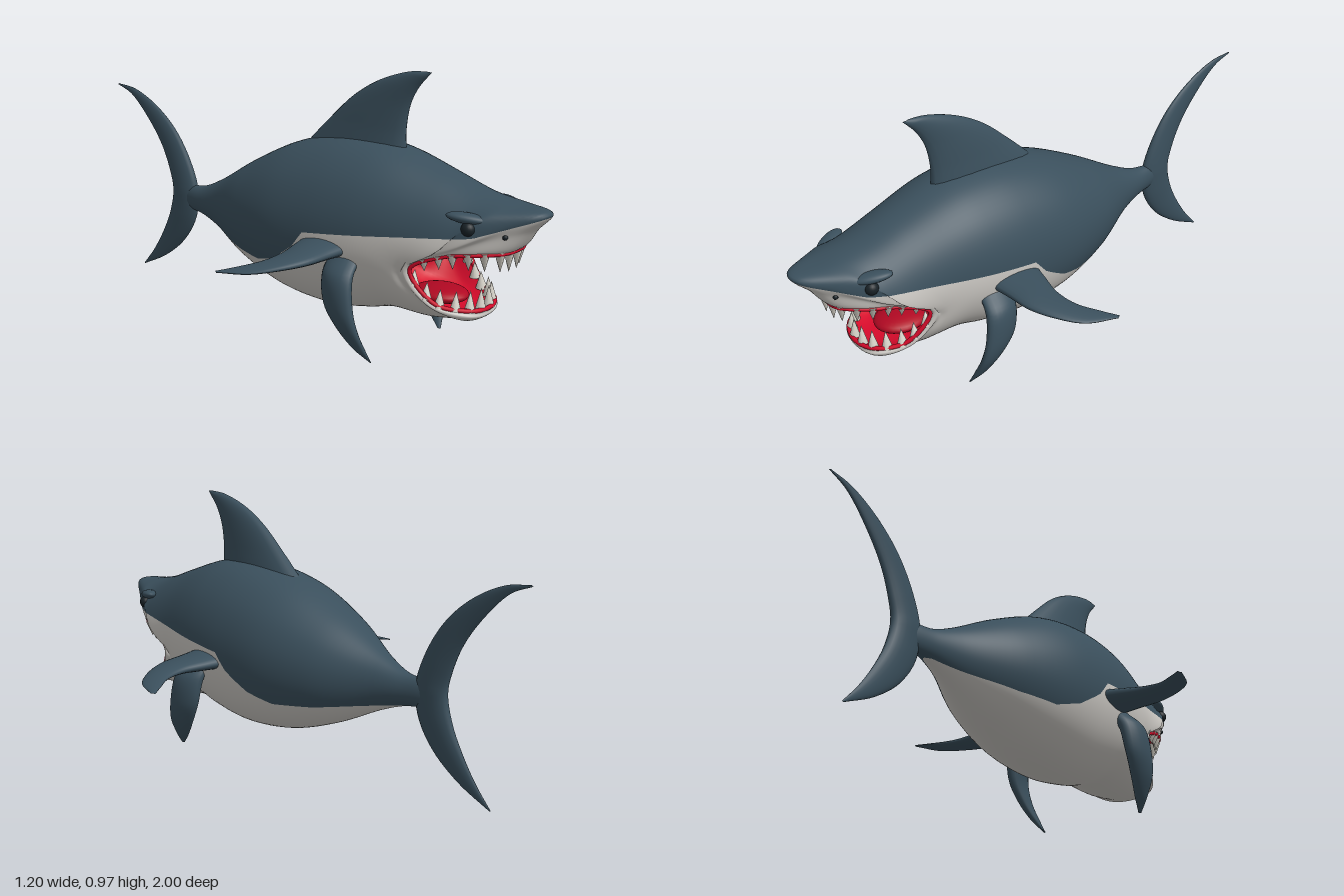
import * as THREE from 'three';

const V = (x, y, z) => new THREE.Vector3(x, y, z);
const mat = (name, color) => Object.assign(new THREE.MeshStandardMaterial({ color }), { name });

// Closed ring through eight half-section points, mirrored to the other side
const ringCurve = half => new THREE.CatmullRomCurve3(
  [...half, ...half.slice(1, 7).reverse().map(p => V(-p.x, p.y, p.z))], true);

// Closed smooth skin over a list of rings, turned to face outward
function loft(rings) {
  const n = rings[0].length, flat = rings.flat(), index = [];
  for (let i = 0; i < rings.length - 1; i++) for (let k = 0; k < n; k++) {
    const a = i * n + k, b = i * n + (k + 1) % n;
    index.push(a, a + n, b, b, a + n, b + n);
  }
  let volume = 0;
  for (let i = 0; i < index.length; i += 3)
    volume += flat[index[i]].dot(flat[index[i + 1]].clone().cross(flat[index[i + 2]]));
  if (volume < 0) index.reverse();
  const g = new THREE.BufferGeometry().setFromPoints(flat);
  g.setIndex(index);
  g.computeVertexNormals();
  return g;
}

// Lens-shaped fin: stations of leading point, trailing point and half thickness
function fin(stations, normal, side = 1) {
  const lead = new THREE.CatmullRomCurve3(stations.map(s => s.lead));
  const trail = new THREE.CatmullRomCurve3(stations.map(s => s.trail));
  const rings = [], last = stations.length - 1;
  for (let i = 0; i <= last * 6; i++) {
    const t = i / (last * 6), a = lead.getPoint(t), b = trail.getPoint(t);
    const j = Math.min(Math.floor(i / 6), last - 1);
    const thick = THREE.MathUtils.lerp(stations[j].thick, stations[j + 1].thick, i / 6 - j);
    const mid = a.clone().add(b).multiplyScalar(0.5), half = a.clone().sub(b).multiplyScalar(0.5);
    rings.push(Array.from({ length: 20 }, (_, k) => {
      const q = k / 20 * Math.PI * 2;
      const p = mid.clone().addScaledVector(half, Math.cos(q)).addScaledVector(normal, thick * Math.sin(q));
      p.x *= side;
      return p;
    }));
  }
  return loft(rings);
}
// Upright fin on the centre line, and paired fin whose two edges share a height
const upright = ([ly, lz, ty, tz, thick]) => ({ lead: V(0, ly, lz), trail: V(0, ty, tz), thick });
const paired = ([y, lx, lz, tx, tz, thick]) => ({ lead: V(lx, y, lz), trail: V(tx, y, tz), thick });

// Body sections: z, top, bottom, half width, pull toward the mouth corner
const BODY = [[-0.66, 0.385, 0.37, 0.004, 0], [-0.6, 0.42, 0.335, 0.022, 0], [-0.5, 0.435, 0.315, 0.045, 0],
  [-0.4, 0.478, 0.28, 0.08, 0], [-0.2, 0.59, 0.19, 0.185, 0], [0, 0.68, 0.125, 0.245, 0],
  [0.2, 0.722, 0.105, 0.258, 0], [0.35, 0.722, 0.125, 0.25, 0], [0.45, 0.705, 0.148, 0.236, 0],
  [0.62, 0.65, 0.145, 0.212, 0.45], [0.75, 0.605, 0.158, 0.2, 1]];
const PULL = [0, 0, 0.01, 0.05, 0.19, 0.13, 0.06, 0.05];

// Head loops from crown to chin: face, muzzle edge and lips
const FACE = [[0, .578, .88], [.06, .573, .87], [.125, .545, .83], [.177, .47, .74],
  [.205, .355, .58], [.168, .235, .65], [.1, .185, .745], [0, .17, .76]];
const MUZZLE = [[0, .56, .995], [.04, .555, .98], [.095, .525, .9], [.168, .45, .76],
  [.2, .355, .59], [.162, .235, .662], [.095, .198, .765], [0, .187, .785]];
const LIPS = [[0, .425, .88], [.065, .425, .87], [.125, .42, .8], [.163, .405, .7],
  [.187, .35, .595], [.15, .238, .67], [.085, .215, .76], [0, .21, .785]];

// Height of the border between back and belly colours
const BORDER = [[-1, .32], [-.5, .32], [-.2, .275], [-.05, .265], [.05, .295], [.15, .36],
  [.2, .42], [.6, .46], [.8, .48], [1.1, .59]];
function borderY(z) {
  const i = Math.max(1, BORDER.findIndex(b => b[0] >= z));
  const [a, b] = [BORDER[i - 1], BORDER[i]];
  return THREE.MathUtils.mapLinear(z, a[0], b[0], a[1], b[1]);
}

export function createModel() {
  const group = new THREE.Group();
  group.name = 'shark';
  const slate = mat('slate back', 0x3a4f5c), pale = mat('pale belly', 0xcbc8c3), red = mat('red mouth', 0xd60a2a);
  const tongueRed = mat('dark red tongue', 0xb00822), ivory = mat('ivory teeth', 0xd6d2c8), black = mat('dark eye', 0x182126);
  const add = (name, geometry, material) => {
    const m = new THREE.Mesh(geometry, material);
    m.name = name;
    group.add(m);
    return m;
  };

  // Control rows: body, head, then inward from the lips to the throat
  const rows = BODY.map(([z, top, bottom, w, pull]) => PULL.map((d, j) => {
    const q = j / 7 * Math.PI;
    return V(w * Math.sin(q), (top + bottom) / 2 + (top - bottom) / 2 * Math.cos(q), z - d * pull);
  }));
  const [face, muzzle, lips] = [FACE, MUZZLE, LIPS].map(r => r.map(p => V(...p)));
  const underside = muzzle.map((p, j) => p.clone().lerp(lips[j], 0.45));
  rows.push(face, muzzle, underside, lips);
  const rim = rows.length - 1;
  const inward = (sx, sy, z) => lips.map(p => V(p.x * sx, 0.32 + (p.y - 0.32) * sy, z(p)));
  rows.push(inward(0.88, 1.12, p => p.z - 0.08), inward(0.66, 0.84, () => 0.5), inward(0.02, 0.02, () => 0.42));

  // One skin from tail to throat
  const columns = PULL.map((_, j) => new THREE.CatmullRomCurve3(rows.map(r => r[j])));
  const STEP = 8, AROUND = 84, count = (rows.length - 1) * STEP, rings = [];
  for (let i = 0; i <= count; i++) {
    const curve = ringCurve(columns.map(c => c.getPoint(i / count)));
    rings.push(Array.from({ length: AROUND }, (_, k) => curve.getPoint(k / AROUND)));
  }
  const skin = loft(rings), P = skin.attributes.position, N = skin.attributes.normal;

  // Cut the skin along the colour border and at the lips
  const parts = { back: [[], []], belly: [[], []], mouthLining: [[], []] };
  const emit = (part, poly) => {
    for (let k = 1; k < poly.length - 1; k++) for (const v of [poly[0], poly[k], poly[k + 1]]) {
      part[0].push(...v.p.toArray());
      part[1].push(...v.n.toArray());
    }
  };
  const clip = (tri, sign) => tri.flatMap((a, k) => {
    const b = tri[(k + 1) % 3], out = a.f * sign >= 0 ? [a] : [];
    if (a.f * b.f < 0) {
      const t = a.f / (a.f - b.f);
      out.push({ p: a.p.clone().lerp(b.p, t), n: a.n.clone().lerp(b.n, t).normalize() });
    }
    return out;
  });
  const idx = skin.index.array;
  for (let i = 0; i < idx.length; i += 3) {
    const ids = [idx[i], idx[i + 1], idx[i + 2]];
    const tri = ids.map(id => {
      const p = V(0, 0, 0).fromBufferAttribute(P, id);
      return { p, n: V(0, 0, 0).fromBufferAttribute(N, id), f: p.y - borderY(p.z) };
    });
    if (Math.min(...ids) >= rim * STEP * AROUND) emit(parts.mouthLining, tri);
    else {
      emit(parts.back, clip(tri, 1));
      emit(parts.belly, clip(tri, -1));
    }
  }
  const colours = { back: slate, belly: pale, mouthLining: red };
  for (const name in parts) {
    const g = new THREE.BufferGeometry();
    g.setAttribute('position', new THREE.Float32BufferAttribute(parts[name][0], 3));
    g.setAttribute('normal', new THREE.Float32BufferAttribute(parts[name][1], 3));
    add(name, g, colours[name]);
  }

  // Lips, tongue and teeth
  const lip = ringCurve(lips);
  add('lips', new THREE.TubeGeometry(lip, 120, 0.008, 8, true), red);
  const tongue = add('tongue', new THREE.SphereGeometry(1, 24, 16), tongueRed);
  tongue.position.set(0, 0.225, 0.6);
  tongue.scale.set(0.085, 0.03, 0.1);
  const tooth = (name, t, height, dir) => {
    const p = lip.getPoint((t + 14) % 14 / 14);
    const m = add(name, new THREE.ConeGeometry(0.02, height, 10), ivory);
    m.position.set(p.x * 0.95, p.y + dir * height * 0.42, p.z - 0.012);
    m.rotation.set(dir < 0 ? Math.PI : 0, 0, p.x * 0.8);
  };
  for (const s of [-1, 1]) {
    for (let i = 0; i < 7; i++) tooth('upperTooth', s * (0.4 + 0.65 * i - 0.025 * i * i), 0.076 - i * 0.005, -1);
    for (let i = 0; i < 6; i++) tooth('lowerTooth', 7 + s * (0.3 + 0.55 * i - 0.02 * i * i), 0.078 - i * 0.005, 1);
  }

  // Dorsal and tail fins
  const X = V(1, 0, 0);
  add('dorsalFin', fin([[.67, .45, .64, -.02, .06], [.76, .445, .765, .11, .044], [.85, .46, .865, .225, .032],
    [.91, .49, .925, .33, .023], [.95, .525, .963, .45, .013], [.967, .542, .969, .52, .002]].map(upright), X), slate);
  add('tailFin', fin([[.798, -.995, .794, -1, .002], [.785, -.9, .762, -.92, .007], [.73, -.78, .68, -.83, .013],
    [.64, -.67, .57, -.745, .019], [.52, -.59, .47, -.7, .025], [.4, -.55, .395, -.683, .029],
    [.29, -.565, .3, -.705, .025], [.19, -.63, .21, -.75, .018], [.105, -.74, .12, -.81, .01],
    [.043, -.87, .045, -.875, .002]].map(upright), X), slate);

  // Paired fins, eyes, brows and nostrils
  const sideFin = [[.38, .2, .375, .2, .17, .038], [.375, .3, .358, .3, .193, .029], [.37, .4, .345, .39, .212, .021],
    [.362, .49, .3, .47, .198, .014], [.352, .56, .235, .54, .15, .008], [.345, .6, .125, .594, .11, .002]].map(paired);
  const lowerFin = [[.36, .2, .41, .2, .29, .04], [.3, .265, .42, .25, .29, .037], [.2, .284, .435, .265, .305, .031],
    [.12, .275, .45, .255, .35, .025], [.05, .243, .46, .235, .405, .016], [.002, .216, .468, .212, .458, .003]].map(paired);
  for (const s of [1, -1]) {
    const side = s > 0 ? 'left' : 'right';
    add(side + 'SideFin', fin(sideFin, V(0, 1, 0), s), slate);
    add(side + 'LowerFin', fin(lowerFin, X, s), slate);
    const eye = add(side + 'Eye', new THREE.SphereGeometry(0.024, 20, 14), black);
    eye.position.set(s * 0.146, 0.508, 0.785);
    const brow = add(side + 'Brow', new THREE.SphereGeometry(1, 24, 16), slate);
    brow.position.set(s * 0.135, 0.54, 0.775);
    brow.scale.set(0.03, 0.018, 0.07);
    brow.rotation.set(0.15, -s * 0.5, s * 0.1);
    const nostril = add(side + 'Nostril', new THREE.SphereGeometry(0.009, 12, 8), black);
    nostril.position.copy(ringCurve(underside).getPoint((s * 1.65 + 14) % 14 / 14));
  }
  return group;
}
